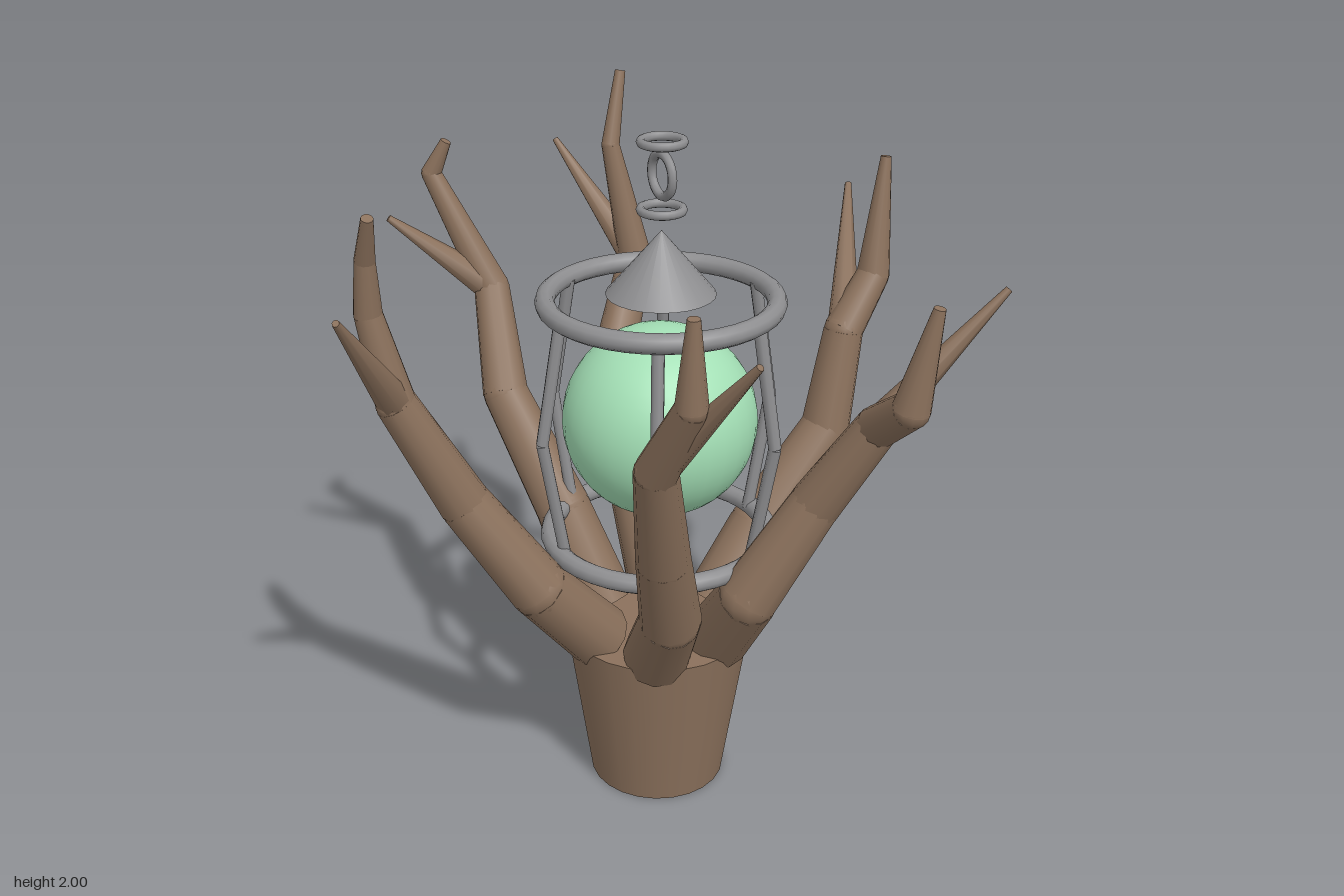
import * as THREE from 'three';

const CX = 0.067, CZ = 0.045;

export function createModel() {
  const mat = (name, color) => {
    const m = new THREE.MeshStandardMaterial({ color });
    m.name = name;
    return m;
  };
  const bark = mat('bark', 0x8b715c);
  const metal = mat('greyMetal', 0x8e8e90);
  const mint = mat('mintOrb', 0xa4e0b6);

  const model = new THREE.Group();
  model.name = 'branchLantern';

  const add = (parent, name, geometry, material, x = 0, y = 0, z = 0) => {
    const mesh = new THREE.Mesh(geometry, material);
    mesh.name = name;
    mesh.position.set(x, y, z);
    parent.add(mesh);
    return mesh;
  };

  // Tapered rod between two points
  const up = new THREE.Vector3(0, 1, 0);
  const rod = (parent, name, a, b, r0, r1, material, sides) => {
    const p = new THREE.Vector3(...a), d = new THREE.Vector3(...b).sub(p);
    const mesh = add(parent, name, new THREE.CylinderGeometry(r1, r0, d.length(), sides), material);
    mesh.position.copy(p).addScaledVector(d, 0.5);
    mesh.quaternion.setFromUnitVectors(up, d.normalize());
  };
  const polar = (turn, r, y) => [r * Math.cos(turn), y, r * Math.sin(turn)];

  // Trunk
  add(model, 'trunk', new THREE.CylinderGeometry(0.279, 0.205, 0.515, 24), bark, CX, 0.2575, CZ);

  // Branch: leaves the trunk rim at the given sixth of a turn, thins with height,
  // passes through the joints and grows a twig from the third one
  const thickness = (y) => 0.1 - 0.05 * (y - 0.5) - 0.02 * Math.max(0, y - 1.35);
  const addBranch = (name, sixth, twigTip, ...joints) => {
    const branch = new THREE.Group();
    branch.name = name;
    model.add(branch);
    const [sx, sy, sz] = polar(sixth * Math.PI / 3, 0.2, 0.52);
    let p = [CX + sx, sy, CZ + sz];
    joints.forEach((q, i) => {
      const last = i === joints.length - 1;
      const r = last ? 0.016 : thickness(q[1]);
      rod(branch, 'limb', p, q, thickness(p[1]), r, bark, 12);
      if (!last) add(branch, 'knuckle', new THREE.SphereGeometry(r, 12, 8), bark, ...q);
      p = q;
    });
    rod(branch, 'twig', joints[2], twigTip, 0.05, 0.01, bark, 8);
  };

  addBranch('leftBranch', 0, [0.9, 1.67, -0.28],
    [0.43, 0.73, 0.01], [0.67, 1.01, 0], [0.73, 1.31, -0.02], [0.84, 1.46, -0.04], [0.88, 1.81, -0.07]);
  addBranch('frontLeftBranch', 1, [0.73, 1.675, 0.69],
    [0.16, 0.76, 0.4], [0.32, 1.05, 0.47], [0.42, 1.31, 0.59], [0.4, 1.43, 0.75], [0.43, 1.71, 0.79]);
  addBranch('frontRightBranch', 2, [-0.16, 1.72, 0.915],
    [-0.09, 0.76, 0.4], [-0.17, 1.02, 0.5], [-0.26, 1.35, 0.62], [-0.25, 1.58, 0.77], [-0.26, 1.81, 0.79]);
  addBranch('rightBranch', 3, [-0.9, 1.71, 0.2],
    [-0.34, 0.76, 0.08], [-0.52, 1.04, 0], [-0.69, 1.37, -0.02], [-0.74, 1.62, -0.04], [-0.745, 1.77, -0.02], [-0.75, 1.9, 0.04]);
  addBranch('backRightBranch', 4, [-0.43, 1.63, -0.73],
    [-0.1, 0.8, -0.26], [-0.19, 1.12, -0.46], [-0.15, 1.4, -0.63], [-0.28, 1.74, -0.75], [-0.24, 1.84, -0.72]);
  addBranch('backLeftBranch', 5, [0.21, 1.74, -0.92],
    [0.15, 0.8, -0.25], [0.2, 1.17, -0.49], [0.345, 1.41, -0.63], [0.285, 1.77, -0.68], [0.34, 1.985, -0.72]);

  // Orb
  add(model, 'orb', new THREE.SphereGeometry(0.278, 32, 24), mint, CX, 1.187, CZ);

  // Cage hoops and bent bars
  const cage = new THREE.Group();
  cage.name = 'cage';
  cage.position.set(CX, 0, CZ);
  model.add(cage);
  for (const y of [0.826, 1.546]) {
    add(cage, 'hoop', new THREE.TorusGeometry(0.319, 0.028, 10, 40), metal, 0, y).rotation.x = Math.PI / 2;
    for (let i = 0; i < 6; i++) {
      const turn = i * Math.PI / 3;
      rod(cage, 'bar', polar(turn, 0.305, y), polar(turn, 0.368, 1.186), 0.018, 0.018, metal, 8);
    }
  }

  // Cap and chain links
  add(cage, 'cap', new THREE.ConeGeometry(0.153, 0.18, 24), metal, 0, 1.655);
  [1.802, 1.896, 1.986].forEach((y, i) => {
    const link = add(cage, 'chainLink', new THREE.TorusGeometry(0.057, 0.013, 8, 24), metal, 0, y);
    if (i === 1) link.rotation.y = Math.PI / 2;
    else link.rotation.x = Math.PI / 2;
  });

  return model;
}
